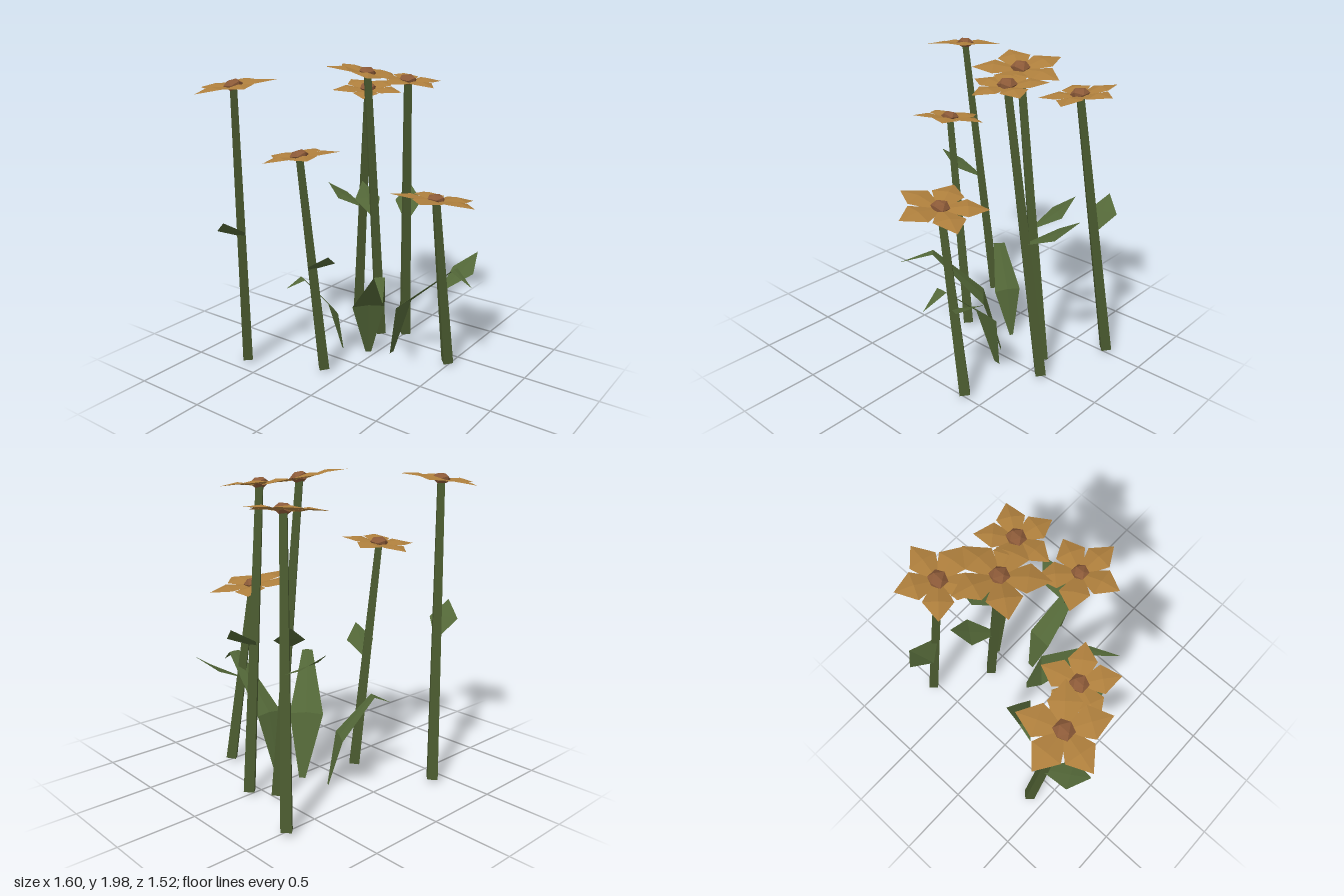
import * as THREE from 'three';

const mat = (color, side = THREE.FrontSide) =>
  new THREE.MeshStandardMaterial({ color, side, flatShading: true });
const stemMat = mat(0x4a5a2f);
const leafMat = mat(0x526637, THREE.DoubleSide);
const petalMat = mat(0xad7e3c, THREE.DoubleSide);
const centreMat = mat(0x8c5a38);
const UP = new THREE.Vector3(0, 1, 0);
const v = (a) => new THREE.Vector3(...a);

function add(parent, name, geometry, material) {
  const mesh = new THREE.Mesh(geometry, material);
  mesh.name = name;
  parent.add(mesh);
  return mesh;
}

// Thin blade: rows of [x, y, z, half width] along its midline, with a fold at the middle
function blade(rows, fold) {
  const first = rows[0], last = rows[rows.length - 1];
  const side = new THREE.Vector3(first[2] - last[2], 0, last[0] - first[0]).normalize();
  const pos = [], index = [];
  rows.forEach(([x, y, z, w], i) => {
    for (const s of [-1, 0, 1]) {
      pos.push(x + side.x * w * s, y + (s ? 0 : fold * w), z + side.z * w * s);
    }
    if (i === 0) return;
    for (let k = 0; k < 2; k++) {
      const a = (i - 1) * 3 + k, b = a + 3;
      index.push(a, a + 1, b, a + 1, b + 1, b);
    }
  });
  const g = new THREE.BufferGeometry();
  g.setAttribute('position', new THREE.Float32BufferAttribute(pos, 3));
  g.setIndex(index);
  g.computeVertexNormals();
  return g;
}

// Square tapered stem from base to head
function addStem(parent, base, head) {
  const dir = head.clone().sub(base);
  const g = new THREE.CylinderGeometry(0.03, 0.046, dir.length(), 4);
  const stem = add(parent, 'stem', g, stemMat);
  stem.position.copy(base).addScaledVector(dir, 0.5);
  stem.quaternion.setFromUnitVectors(UP, dir.normalize());
}

// Five pointed petals around a faceted centre; slope tilts the whole head
function addHead(parent, head, radius, angle, slope) {
  const group = new THREE.Group();
  group.name = 'flowerHead';
  group.position.copy(head);
  group.quaternion.setFromUnitVectors(UP, new THREE.Vector3(-slope[0], 1, -slope[1]).normalize());
  const petal = blade([
    [0.02, -0.01, 0, 0.03],
    [radius * 0.55, 0.005, 0, radius * 0.35],
    [radius, 0, 0, 0],
  ], 0.15);
  for (let i = 0; i < 5; i++) {
    add(group, 'petal', petal, petalMat).rotation.y = -THREE.MathUtils.degToRad(angle + i * 72);
  }
  const centre = add(group, 'flowerCentre', new THREE.IcosahedronGeometry(0.06, 0), centreMat);
  centre.scale.y = 0.6;
  centre.position.y = 0.005;
  parent.add(group);
}

// Kite-shaped leaf growing from a point on the stem
function addStemLeaf(parent, base, tip) {
  const mid = base.clone().lerp(tip, 0.58);
  const rows = [
    [...base.toArray(), 0.015],
    [mid.x, mid.y - 0.02, mid.z, 0.092],
    [...tip.toArray(), 0],
  ];
  add(parent, 'stemLeaf', blade(rows, 0.08), leafMat);
}

const FLOWERS = [
  { base: [-0.39, 0.02, -0.65], head: [-0.55, 1.91, -0.5], r: 0.26, angle: -94, slope: [0.09, 0.1], leaf: [-0.74, 1.12, -0.45], at: 0.94 },
  { base: [-0.19, 0.02, -0.14], head: [-0.37, 1.5, -0.16], r: 0.245, angle: -87, slope: [0.02, 0.13], leaf: [-0.41, 0.92, 0.08], at: 0.75 },
  { base: [0.73, 0.02, -0.52], head: [0.55, 1.79, -0.31], r: 0.25, angle: -64, slope: [0.13, -0.09], leaf: [0.57, 1.06, -0.68], at: 0.9 },
  { base: [0.485, 0.02, -0.14], head: [0.26, 1.935, -0.11], r: 0.285, angle: -71.5, slope: [-0.1, -0.16], leaf: [0.535, 1.13, -0.345], at: 0.94 },
  { base: [0.585, 0.02, 0.01], head: [0.365, 1.895, 0.13], r: 0.235, angle: -39, slope: [0, -0.12], leaf: [0.76, 1.11, -0.086], at: 0.93 },
  { base: [0.37, 0.02, 0.49], head: [0.17, 1.21, 0.475], r: 0.29, angle: -118.5, slope: [-0.16, -0.03], leaf: [0.585, 0.77, 0.57], at: 0.58 },
];

// Arching leaves rising from the ground
const GROUND_LEAVES = [
  [[0.14, 0, -0.23, 0.012], [0.07, 0.32, -0.26, 0.09], [-0.11, 0.58, -0.375, 0.04], [-0.215, 0.525, -0.435, 0]],
  [[0.2, 0, -0.05, 0.02], [0.1, 0.4, 0.02, 0.11], [-0.125, 0.74, 0.26, 0.035], [-0.295, 0.66, 0.4, 0]],
  [[0.285, 0, 0.09, 0.022], [0.275, 0.4, 0.19, 0.09], [0.265, 0.74, 0.57, 0.04], [0.25, 0.65, 0.71, 0]],
];

export function createModel() {
  const model = new THREE.Group();
  model.name = 'flowerCluster';

  for (const f of FLOWERS) {
    const flower = new THREE.Group();
    flower.name = 'flower';
    const base = v(f.base), head = v(f.head);
    addStem(flower, base, head);
    addHead(flower, head, f.r, f.angle, f.slope);
    const joint = base.clone().lerp(head, (f.at - base.y) / (head.y - base.y));
    addStemLeaf(flower, joint, v(f.leaf));
    model.add(flower);
  }
  for (const rows of GROUND_LEAVES) add(model, 'groundLeaf', blade(rows, 0.1), leafMat);

  return model;
}
